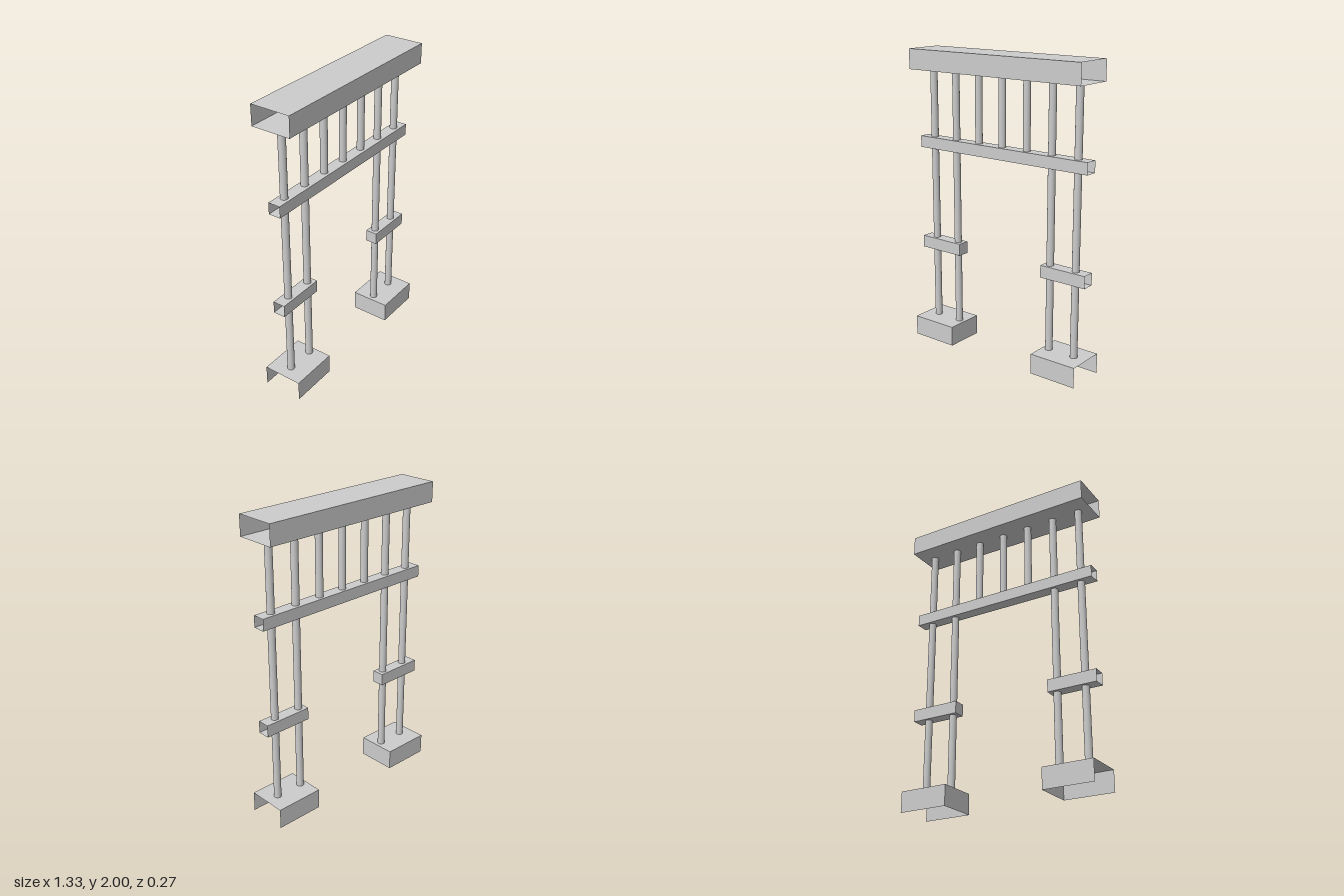
import * as THREE from 'three';

const shell = new THREE.MeshStandardMaterial({ color: 0xcccccc, side: THREE.DoubleSide });
const HALF = 0.665;   // half length of the gate
const INNER = 0.335;  // inner end of the feet and short rails

// Thin-walled box; only the listed sides are built
function openBox(name, [x0, x1], [y0, y1], halfZ, sides) {
  const box = new THREE.Group();
  box.name = name;
  const w = x1 - x0, h = y1 - y0, d = halfZ * 2, q = Math.PI / 2;
  const panels = {
    front: [w, h, 0, 0, 0, 0, halfZ],
    back: [w, h, 0, Math.PI, 0, 0, -halfZ],
    top: [w, d, -q, 0, 0, h / 2, 0],
    bottom: [w, d, q, 0, 0, -h / 2, 0],
    left: [d, h, 0, q, w / 2, 0, 0],
    right: [d, h, 0, -q, -w / 2, 0, 0],
  };
  for (const side of sides) {
    const [pw, ph, rx, ry, px, py, pz] = panels[side];
    const panel = new THREE.Mesh(new THREE.PlaneGeometry(pw, ph), shell);
    panel.name = side + 'Panel';
    panel.rotation.set(rx, ry, 0);
    panel.position.set(px, py, pz);
    box.add(panel);
  }
  box.position.set((x0 + x1) / 2, (y0 + y1) / 2, 0);
  return box;
}

// Round upright tube between two heights
function pole(name, x, y0, y1) {
  const mesh = new THREE.Mesh(new THREE.CylinderGeometry(0.024, 0.024, y1 - y0, 24, 1, true), shell);
  mesh.name = name;
  mesh.position.set(x, (y0 + y1) / 2, 0);
  return mesh;
}

export function createModel() {
  const gate = new THREE.Group();
  gate.name = 'gate';
  const sleeve = ['front', 'back', 'top', 'bottom'];

  // Full-width beams, open at both ends
  gate.add(openBox('topBeam', [-HALF, HALF], [1.867, 2], 0.133, sleeve));
  gate.add(openBox('crossRail', [-HALF, HALF], [1.337, 1.414], 0.041, sleeve));

  // Feet (open below) and short rails, closed only at the inner end
  for (const s of [-1, 1]) {
    const side = s > 0 ? 'left' : 'right';
    const span = s > 0 ? [INNER, HALF] : [-HALF, -INNER];
    const innerEnd = s > 0 ? 'right' : 'left';
    gate.add(openBox(side + 'Foot', span, [0, 0.135], 0.133, ['front', 'back', 'top', innerEnd]));
    gate.add(openBox(side + 'ShortRail', span, [0.628, 0.709], 0.041, [...sleeve, innerEnd]));
    // Long poles from foot to top beam
    gate.add(pole(side + 'OuterPole', s * 0.573, 0.135, 1.867));
    gate.add(pole(side + 'InnerPole', s * 0.382, 0.135, 1.867));
  }

  // Short balusters above the opening
  for (const i of [-1, 0, 1]) gate.add(pole('baluster', i * 0.191, 1.414, 1.867));

  return gate;
}
